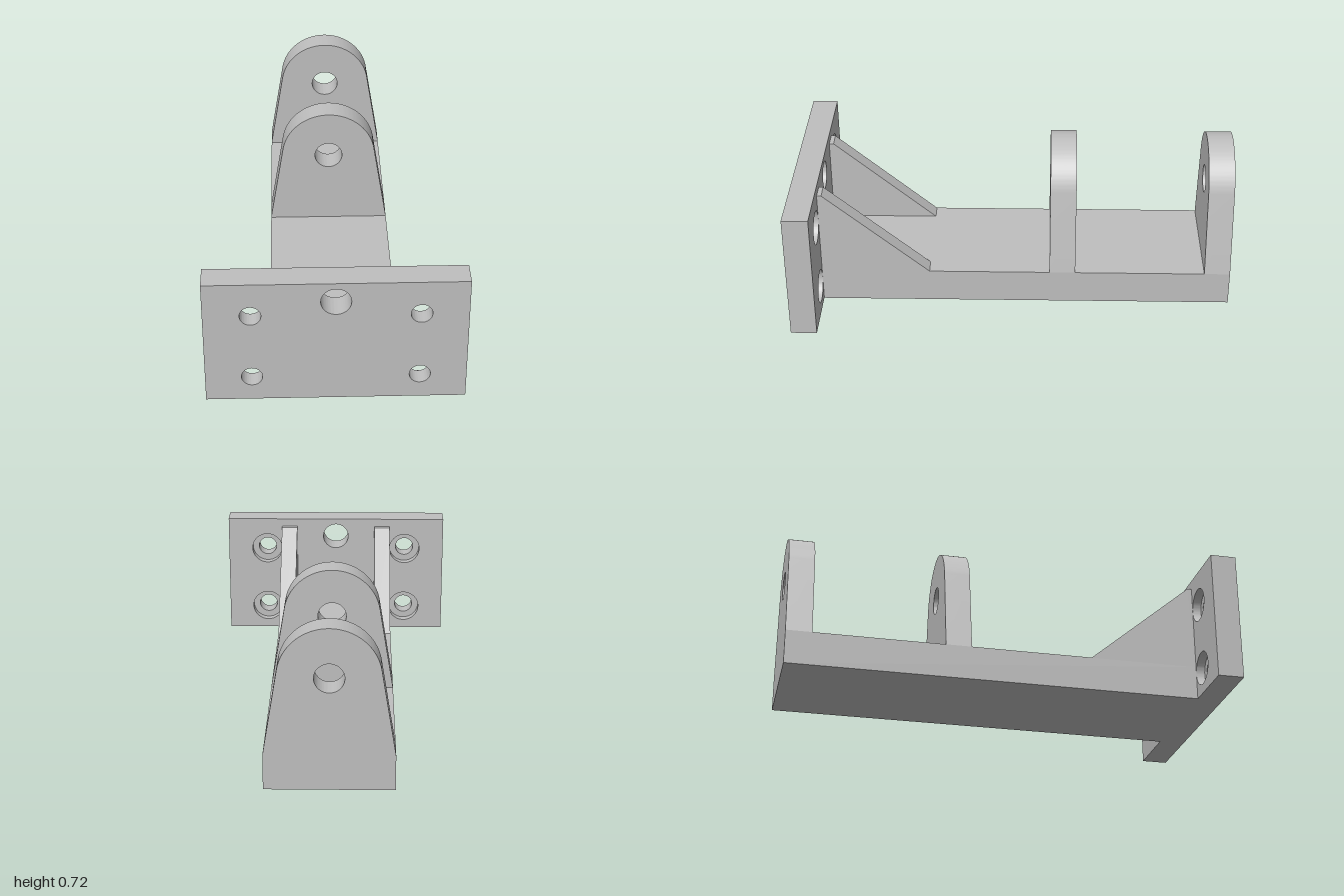
import * as THREE from 'three';
import { toCreasedNormals } from 'three/addons/utils/BufferGeometryUtils.js';

const HALF_W = 0.278;   // half width of base and lugs
const FLOOR = 0.157;    // top of the base
const AXIS_Y = 0.505;   // height of the shaft bore
const BORE_R = 0.064;

function addHole(shape, x, y, r) {
  const hole = new THREE.Path();
  hole.absarc(x, y, r, 0, Math.PI * 2, true);
  shape.holes.push(hole);
}

// Extrudes a shape along z from z0 to z1 with sharp edges and smooth bores
function extrude(shape, z0, z1) {
  const geo = new THREE.ExtrudeGeometry(shape, { depth: z1 - z0, bevelEnabled: false, curveSegments: 40 });
  geo.translate(0, 0, z0);
  return toCreasedNormals(geo, 0.5);
}

export function createModel() {
  const group = new THREE.Group();
  group.name = 'shaftBracket';
  const grey = new THREE.MeshStandardMaterial({ color: 0xbfbfbf });
  grey.name = 'plainGrey';

  const add = (name, geo) => {
    const mesh = new THREE.Mesh(geo, grey);
    mesh.name = name;
    group.add(mesh);
    return mesh;
  };

  // Long base slab
  const base = new THREE.BoxGeometry(HALF_W * 2, FLOOR, 1.882);
  base.translate(0, FLOOR / 2, -0.059);
  add('base', base);

  // Mounting plate in two layers: bolt holes in front, counterbores behind
  const plateLayer = (boltR) => {
    const s = new THREE.Shape();
    s.moveTo(-0.555, 0);
    s.lineTo(0.555, 0);
    s.lineTo(0.555, 0.597);
    s.lineTo(-0.555, 0.597);
    s.closePath();
    addHole(s, 0, AXIS_Y, BORE_R);
    for (const x of [-0.356, 0.356])
      for (const y of [0.12, 0.438]) addHole(s, x, y, boltR);
    return s;
  };
  add('mountingPlateFront', extrude(plateLayer(0.045), 0.922, 1));
  add('mountingPlateBack', extrude(plateLayer(0.077), 0.882, 0.922));

  // Two upright lugs: tapered sides tangent to a round top
  const lug = new THREE.Shape();
  const tangent = 0.165;
  lug.moveTo(-HALF_W, FLOOR);
  lug.lineTo(HALF_W, FLOOR);
  lug.absarc(0, AXIS_Y, 0.218, tangent, Math.PI - tangent, false);
  lug.closePath();
  addHole(lug, 0, AXIS_Y, BORE_R);
  add('rearLug', extrude(lug, -1, -0.882));
  add('middleLug', extrude(lug, -0.287, -0.169));

  // Sloping gussets between plate and base; the profile is drawn in (-z, y)
  const gusset = new THREE.Shape();
  gusset.moveTo(-0.882, FLOOR);
  gusset.lineTo(-0.385, FLOOR);
  gusset.lineTo(-0.862, 0.557);
  gusset.lineTo(-0.882, 0.557);
  gusset.closePath();
  for (const [name, x] of [['rightGusset', -HALF_W], ['leftGusset', 0.199]]) {
    const geo = extrude(gusset, 0, 0.079);
    geo.rotateY(Math.PI / 2);
    geo.translate(x, 0, 0);
    add(name, geo);
  }

  return group;
}
